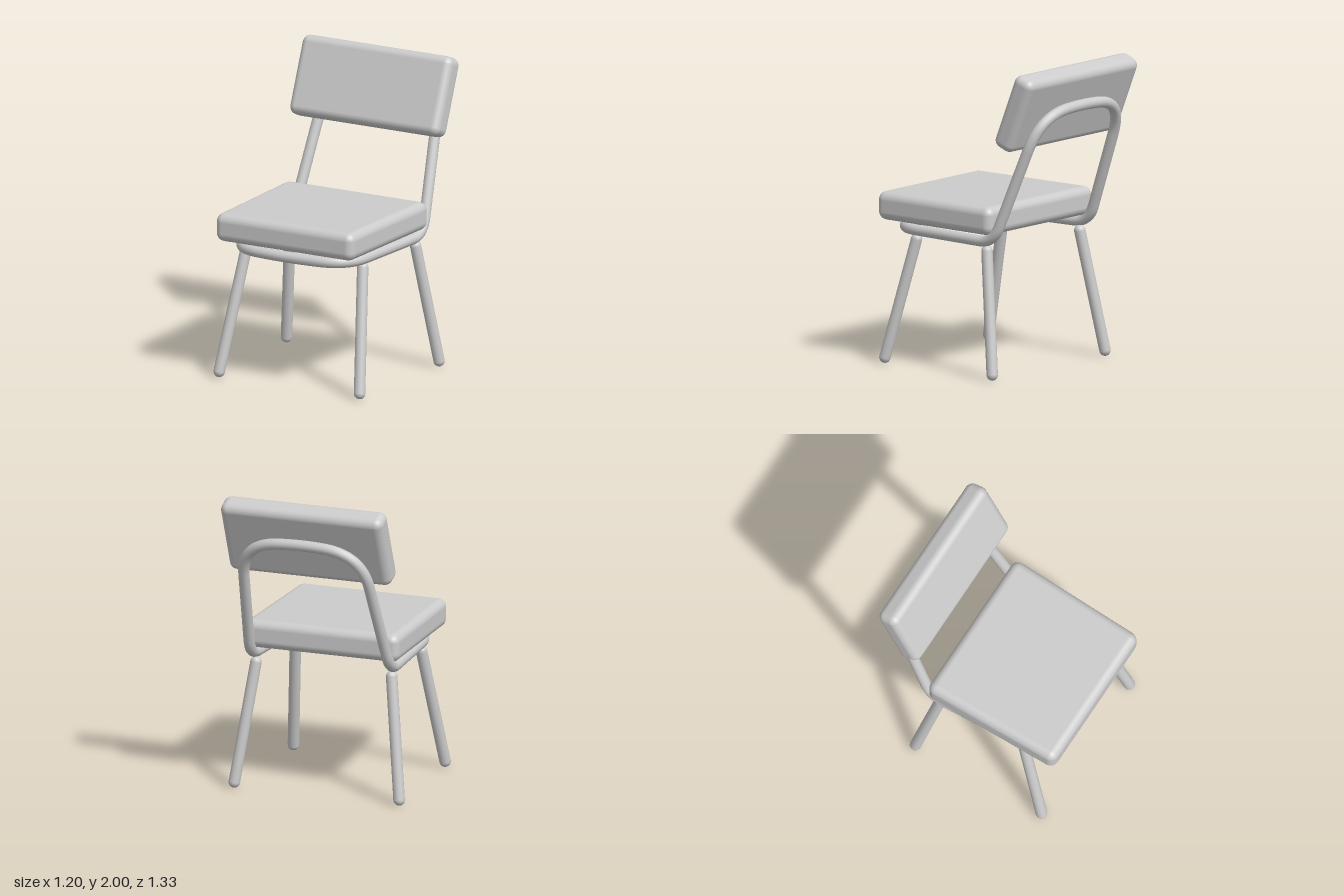
import * as THREE from 'three';
import { RoundedBoxGeometry } from 'three/addons/geometries/RoundedBoxGeometry.js';

const material = new THREE.MeshStandardMaterial({ color: 0xcccccc });
const V = (x, y, z) => new THREE.Vector3(x, y, z);

function addMesh(parent, name, geometry) {
  const mesh = new THREE.Mesh(geometry, material);
  mesh.name = name;
  parent.add(mesh);
  return mesh;
}

// Closed path through corners, each rounded off over its own distance
function roundedLoop(corners) {
  const path = new THREE.CurvePath();
  const n = corners.length;
  const toward = (a, b, d) => a.clone().add(b.clone().sub(a).setLength(d));
  const bends = corners.map(([p, r], i) => {
    const prev = corners[(i + n - 1) % n][0], next = corners[(i + 1) % n][0];
    return [toward(p, prev, r), p, toward(p, next, r)];
  });
  bends.forEach(([a, p, b], i) => {
    path.add(new THREE.QuadraticBezierCurve3(a, p, b));
    path.add(new THREE.LineCurve3(b, bends[(i + 1) % n][0]));
  });
  return path;
}

// Round-ended rod between two points
function addRod(parent, name, from, to, radius) {
  const dir = to.clone().sub(from);
  const rod = addMesh(parent, name, new THREE.CapsuleGeometry(radius, dir.length(), 5, 16));
  rod.position.copy(from).add(to).multiplyScalar(0.5);
  rod.quaternion.setFromUnitVectors(V(0, 1, 0), dir.normalize());
}

export function createModel() {
  const chair = new THREE.Group();
  chair.name = 'chair';

  // Seat cushion, slightly narrower at the front
  const seatGeometry = new RoundedBoxGeometry(1.04, 0.185, 0.955, 4, 0.055);
  const pos = seatGeometry.attributes.position;
  for (let i = 0; i < pos.count; i++) {
    pos.setX(i, pos.getX(i) * (1 - 0.04 * pos.getZ(i)));
  }
  const seat = addMesh(chair, 'seatCushion', seatGeometry);
  seat.position.set(0, 1.0125, 0.1875);

  // Backrest cushion, leaning back
  const back = addMesh(chair, 'backCushion', new RoundedBoxGeometry(1.11, 0.52, 0.156, 4, 0.052));
  back.position.set(0, 1.745, -0.495);
  back.rotation.x = -0.385;

  // One bent tube runs under the seat and up behind the backrest
  const half = [
    [V(0.425, 0.875, 0.575), 0.21],
    [V(0.48, 0.875, -0.286), 0.12],
    [V(0.41, 1.725, -0.622), 0.26],
  ];
  const mirrored = half.map(([p, r]) => [V(-p.x, p.y, p.z), r]).reverse();
  const loop = roundedLoop([
    [V(0, 0.875, 0.615), 0.18], ...half, [V(0, 1.752, -0.632), 0.13], ...mirrored,
  ]);
  addMesh(chair, 'tubeFrame', new THREE.TubeGeometry(loop, 240, 0.036, 14, true));

  // Splayed legs
  for (const s of [1, -1]) {
    const side = s > 0 ? 'Left' : 'Right';
    addRod(chair, 'front' + side + 'Leg', V(0.52 * s, 0.037, 0.58), V(0.432 * s, 0.815, 0.39), 0.037);
    addRod(chair, 'rear' + side + 'Leg', V(0.565 * s, 0.037, -0.348), V(0.465 * s, 0.815, -0.222), 0.037);
  }
  return chair;
}
